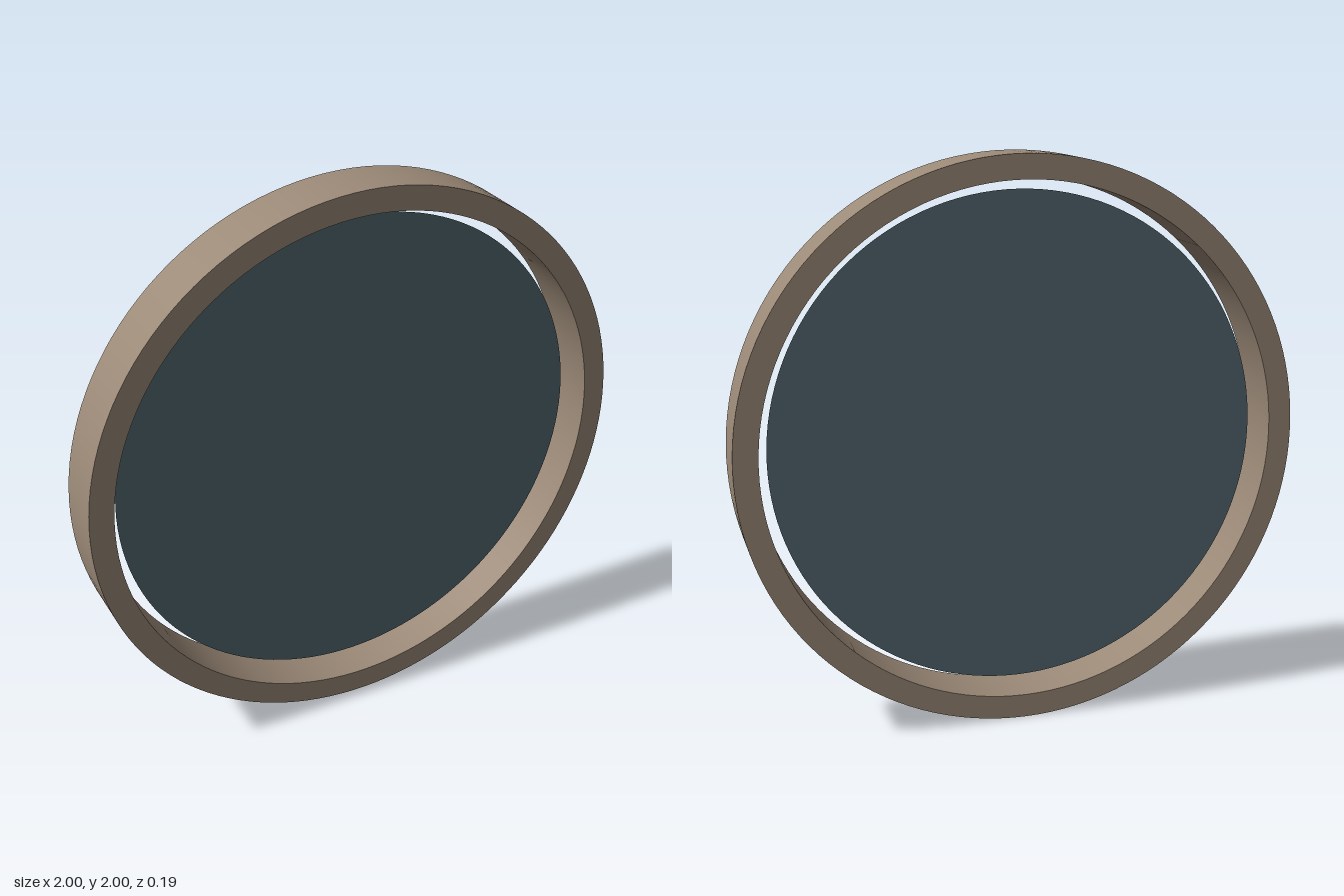
import * as THREE from 'three';

const OUTER = 1, INNER = 0.915, HALF_DEPTH = 0.097, DISC = 0.877, SEGMENTS = 128;

export function createModel() {
  const model = new THREE.Group();
  model.name = 'framedDisc';

  const frameMaterial = new THREE.MeshStandardMaterial({ color: 0x9c8a78 });
  frameMaterial.name = 'warm taupe';
  const discMaterial = new THREE.MeshStandardMaterial({ color: 0x546a72, side: THREE.DoubleSide });
  discMaterial.name = 'slate blue';

  // Ring frame: a straight-walled hoop with flat front and back rims
  const frame = new THREE.Group();
  frame.name = 'ringFrame';
  const addPart = (name, geometry) => {
    const mesh = new THREE.Mesh(geometry, frameMaterial);
    mesh.name = name;
    frame.add(mesh);
  };
  // A lathe profile running towards +y faces outward; the reverse faces inward
  const wall = (radius, from, to) =>
    new THREE.LatheGeometry([new THREE.Vector2(radius, from), new THREE.Vector2(radius, to)], SEGMENTS)
      .rotateX(Math.PI / 2);
  addPart('outerWall', wall(OUTER, -HALF_DEPTH, HALF_DEPTH));
  addPart('innerWall', wall(INNER, HALF_DEPTH, -HALF_DEPTH));
  const rim = () => new THREE.RingGeometry(INNER, OUTER, SEGMENTS);
  addPart('frontRim', rim().translate(0, 0, HALF_DEPTH));
  addPart('backRim', rim().rotateY(Math.PI).translate(0, 0, -HALF_DEPTH));
  frame.position.y = OUTER;

  // Thin disc floating in the middle of the ring
  const disc = new THREE.Mesh(new THREE.CircleGeometry(DISC, SEGMENTS), discMaterial);
  disc.name = 'centreDisc';
  disc.position.y = OUTER;

  model.add(frame, disc);
  return model;
}
